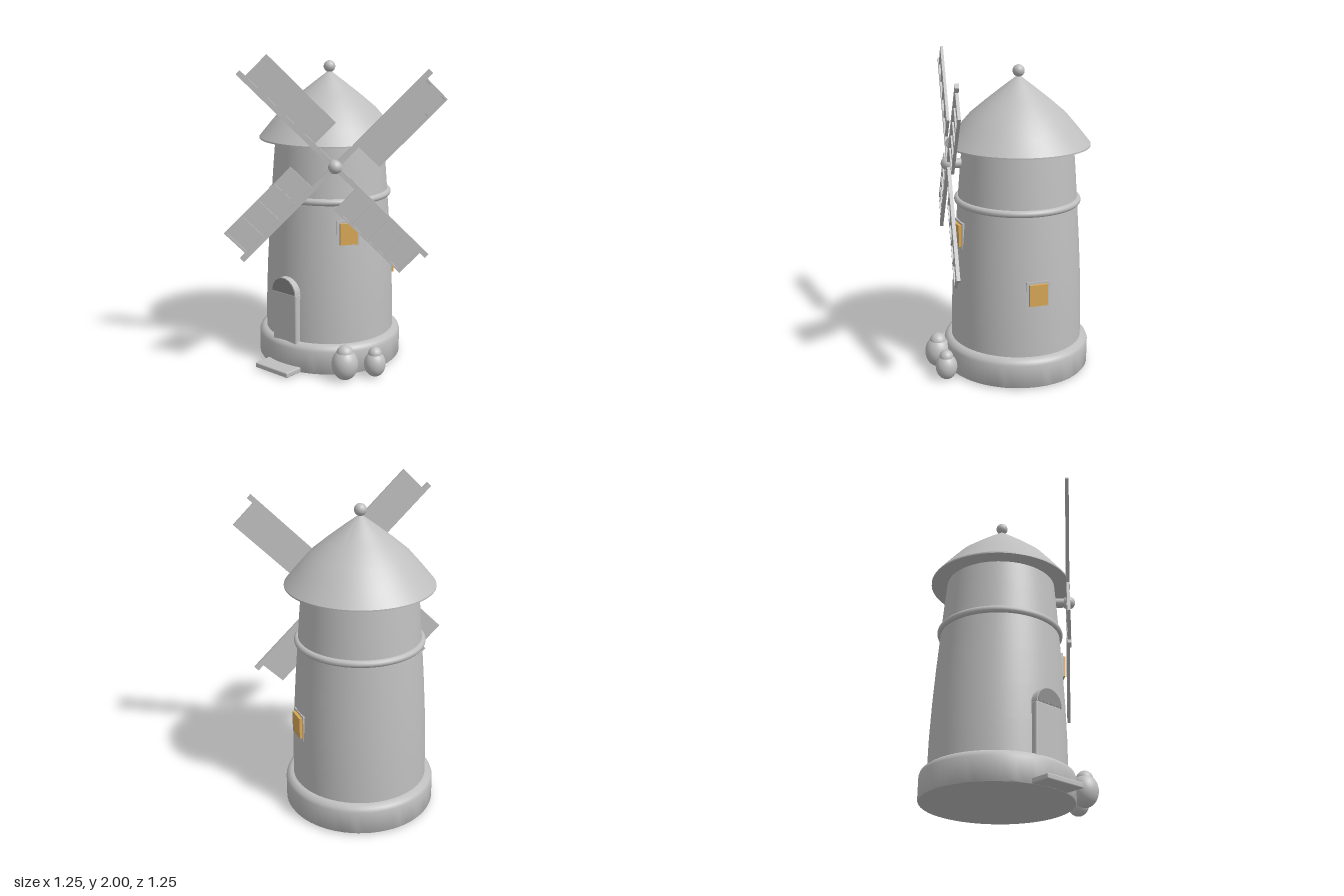
import * as THREE from 'three';
import { toCreasedNormals } from 'three/addons/utils/BufferGeometryUtils.js';
import { RoundedBoxGeometry } from 'three/addons/geometries/RoundedBoxGeometry.js';

const stone = new THREE.MeshStandardMaterial({ name: 'paleGrey', color: 0xbfbfbf });
const dark = new THREE.MeshStandardMaterial({ name: 'darkGrey', color: 0x8a8a8a });
const amber = new THREE.MeshStandardMaterial({ name: 'amberGlass', color: 0xd9a857 });

function add(parent, name, geometry, material, x = 0, y = 0, z = 0) {
  const mesh = new THREE.Mesh(geometry, material);
  mesh.name = name;
  mesh.position.set(x, y, z);
  parent.add(mesh);
  return mesh;
}

// Turned part from [radius, height] pairs, listed bottom to top
function lathe(points, crease = 0.6) {
  const g = new THREE.LatheGeometry(points.map(([r, y]) => new THREE.Vector2(r, y)), 64);
  return toCreasedNormals(g, crease);
}

// Wall window; angle is measured from +x towards +z
function addWindow(tower, name, angle, y, radius) {
  const g = new THREE.Group();
  g.name = name;
  g.position.set(Math.cos(angle) * radius, y, Math.sin(angle) * radius);
  g.rotation.y = Math.PI / 2 - angle;
  add(g, 'windowFrame', new THREE.BoxGeometry(0.145, 0.165, 0.03), stone, 0, 0, -0.015);
  add(g, 'windowPane', new THREE.BoxGeometry(0.115, 0.135, 0.03), amber, 0, 0, 0.003);
  tower.add(g);
}

// One sail: spar along +y with a slatted panel on its +x side
function makeSail() {
  const sail = new THREE.Group();
  sail.name = 'sail';
  add(sail, 'spar', new THREE.BoxGeometry(0.032, 0.8, 0.022), stone, 0, 0.4, 0);
  add(sail, 'sailPanel', new THREE.BoxGeometry(0.19, 0.57, 0.008), stone, 0.095, 0.47, -0.006);
  add(sail, 'outerRail', new THREE.BoxGeometry(0.012, 0.57, 0.016), stone, 0.186, 0.47, 0);
  for (let i = 0; i < 5; i++) {
    add(sail, 'slat', new THREE.BoxGeometry(0.19, 0.014, 0.016), stone, 0.095, 0.192 + i * 0.139, 0);
  }
  return sail;
}

function addSack(parent, x, z, r, neckR, neckY) {
  const g = new THREE.Group();
  g.name = 'sack';
  g.position.set(x, 0, z);
  const h = r * 1.22;
  add(g, 'sackBody', new THREE.SphereGeometry(r, 32, 20), stone, 0, h + 0.003, 0).scale.y = 1.22;
  add(g, 'sackTop', new THREE.SphereGeometry(neckR, 24, 16), stone, 0, neckY, 0);
  parent.add(g);
}

export function createModel() {
  const model = new THREE.Group();
  model.name = 'windmill';

  // Round tower
  const tower = new THREE.Group();
  tower.name = 'tower';
  tower.position.set(-0.16, 0, -0.16);
  model.add(tower);
  add(tower, 'plinth', lathe([[0, 0.012], [0.46, 0.012], [0.465, 0.02], [0.465, 0.16],
    [0.457, 0.182], [0.435, 0.198], [0.4, 0.2], [0, 0.2]]), stone);
  add(tower, 'wall', lathe([[0.418, 0.19], [0.415, 0.4], [0.406, 0.62], [0.392, 0.85],
    [0.375, 1.08], [0.36, 1.28], [0.344, 1.46]]), stone);
  const ring = add(tower, 'ringBand', new THREE.TorusGeometry(0.374, 0.022, 12, 64), stone, 0, 1.1, 0);
  ring.rotation.x = Math.PI / 2;
  add(tower, 'roof', lathe([[0, 1.447], [0.447, 1.447], [0.447, 1.456], [0.37, 1.55], [0.295, 1.637],
    [0.2, 1.717], [0.095, 1.8], [0, 1.872]]), stone);
  add(tower, 'finial', new THREE.SphereGeometry(0.037, 24, 16), stone, 0, 1.895, 0);

  addWindow(tower, 'frontWindow', 0.56, 0.905, 0.39);
  addWindow(tower, 'backWindow', -0.95, 0.6, 0.406);

  // Arched door
  const door = new THREE.Group();
  door.name = 'door';
  add(door, 'doorPanel', new RoundedBoxGeometry(0.2, 0.34, 0.1, 3, 0.012), stone, 0, 0.345, 0.39);
  const arch = new THREE.Shape();
  arch.absarc(0, 0, 0.1, 0, Math.PI, false);
  add(door, 'doorArch', new THREE.ExtrudeGeometry(arch,
    { depth: 0.1, bevelEnabled: false, curveSegments: 24 }), stone, 0, 0.51, 0.345);
  const face = new THREE.Shape();
  face.absarc(0, 0, 0.094, 0, Math.PI, false);
  add(door, 'archFace', new THREE.ExtrudeGeometry(face,
    { depth: 0.004, bevelEnabled: false, curveSegments: 24 }), dark, 0, 0.512, 0.444);
  tower.add(door);
  add(model, 'doorstep', new RoundedBoxGeometry(0.276, 0.034, 0.2, 3, 0.008), stone, -0.16, 0.03, 0.31);

  // Sails and hub, facing diagonally between +x and +z
  const rotor = new THREE.Group();
  rotor.name = 'rotor';
  rotor.position.set(0.145, 1.333, 0.145);
  rotor.rotation.y = Math.PI / 4;
  const axle = add(rotor, 'axle', new THREE.CylinderGeometry(0.03, 0.03, 0.16, 24), stone, 0, 0, -0.07);
  axle.rotation.x = Math.PI / 2;
  add(rotor, 'hub', new THREE.SphereGeometry(0.042, 24, 16), stone, 0, 0, 0.005);
  for (let i = 0; i < 4; i++) {
    const sail = makeSail();
    sail.rotation.z = Math.PI / 4 + i * Math.PI / 2;
    rotor.add(sail);
  }
  model.add(rotor);

  // Sacks beside the plinth
  addSack(model, 0.243, 0.165, 0.083, 0.053, 0.175);
  addSack(model, 0.353, 0.003, 0.068, 0.043, 0.152);

  return model;
}
